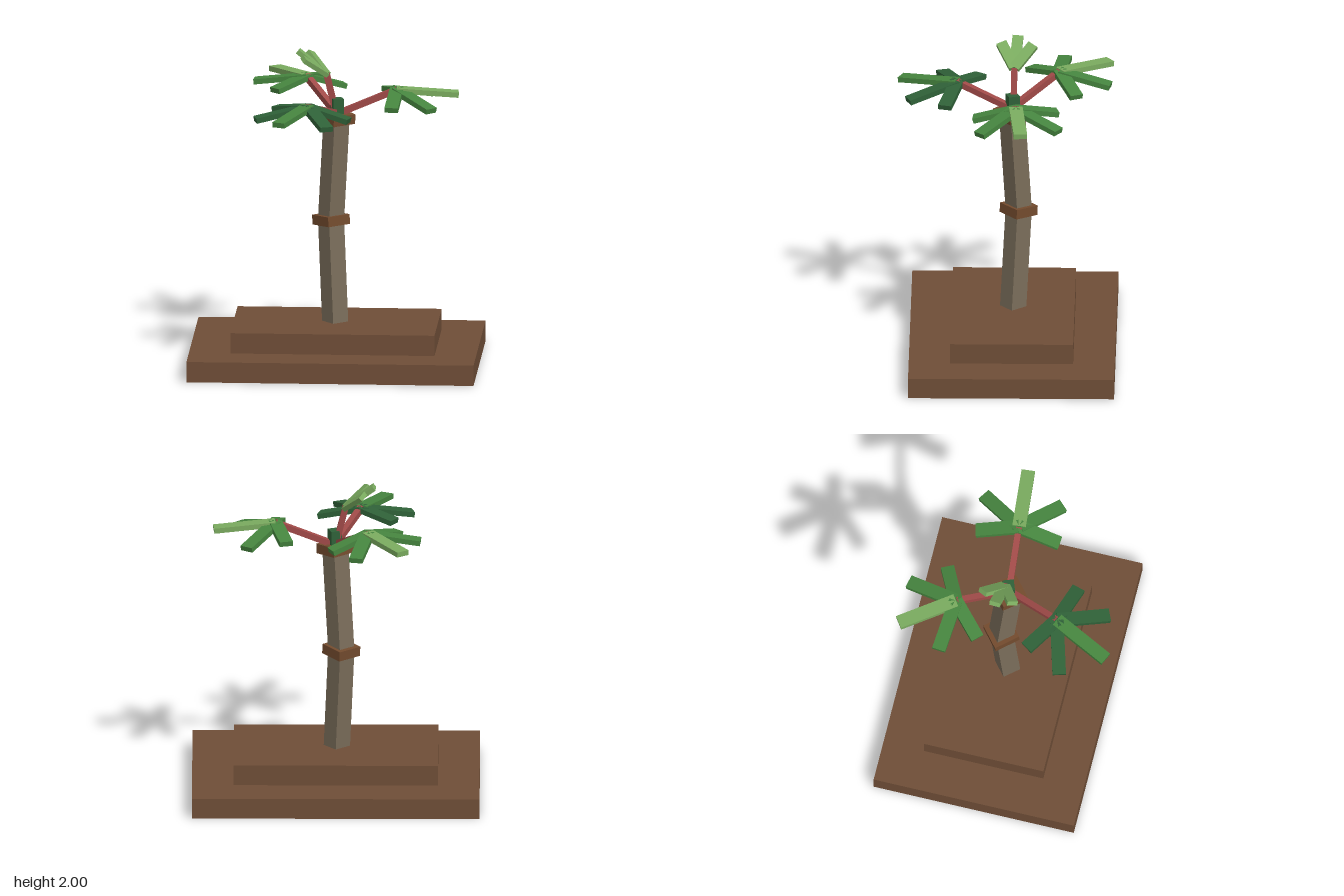
import * as THREE from 'three';

const mat = (name, color) => Object.assign(new THREE.MeshStandardMaterial({ color }), { name });
const V = (a) => new THREE.Vector3(...a);

export function createModel() {
  const root = new THREE.Group();
  root.name = 'palmTree';
  const earth = mat('earthBrown', 0x6f4e37);
  const ring = mat('ringBrown', 0x734b2e);
  const bark = mat('barkGrey', 0x7a6d5a);
  const red = mat('stemRed', 0xa04a48);
  const dark = mat('darkGreen', 0x2f6138);
  const mid = mat('midGreen', 0x46853f);
  const bright = mat('brightGreen', 0x7aab5f);

  function box(name, size, pos, material, parent = root) {
    const mesh = new THREE.Mesh(new THREE.BoxGeometry(...size), material);
    mesh.name = name;
    mesh.position.set(...pos);
    parent.add(mesh);
    return mesh;
  }

  // Box whose long (local y) axis runs from a to b; its local z leans toward `facing`
  function beam(name, a, b, width, depth, facing, material, parent = root) {
    const from = V(a), to = V(b);
    const y = to.clone().sub(from), length = y.length();
    y.normalize();
    const x = y.clone().cross(V(facing)).normalize();
    const z = x.clone().cross(y);
    const mesh = box(name, [width, length, depth], from.add(to).multiplyScalar(0.5).toArray(), material, parent);
    mesh.quaternion.setFromRotationMatrix(new THREE.Matrix4().makeBasis(x, y, z));
    return mesh;
  }

  // Stepped base
  box('baseLower', [1.8, 0.13, 1.29], [0, 0.065, -0.043], earth);
  box('baseUpper', [1.28, 0.13, 0.77], [0, 0.195, -0.043], earth);

  // Bent square trunk with a collar at the end of each section
  const yaw = THREE.MathUtils.degToRad(40);
  const facing = [Math.sin(yaw), 0, Math.cos(yaw)];
  const joints = [[-0.003, 0.2, -0.04], [-0.033, 0.905, -0.077], [0.004, 1.568, -0.036]];
  for (let i = 0; i < 2; i++) {
    const a = joints[i], b = joints[i + 1];
    beam('trunkSection', a, b, 0.117, 0.117, facing, bark);
    const half = V(b).sub(V(a)).setLength(0.031);
    beam('trunkCollar', V(b).sub(half).toArray(), V(b).add(half).toArray(), 0.168, 0.168, facing, ring);
  }

  // Bud at the crown
  box('bud', [0.07, 0.1, 0.07], [0.008, 1.64, -0.04], dark).rotation.y = 0.35;

  // Fronds: a stem, then leaves fanned from its hub; tips are absolute positions
  const fronds = [
    { // toward the left side
      stem: [0.03, 1.6, -0.04], hub: [0.38, 1.745, -0.065], centre: bright, sides: mid,
      tips: [[0.765, 1.715, -0.1], [0.56, 1.665, -0.335], [0.31, 1.695, -0.325],
        [0.61, 1.66, 0.16], [0.36, 1.67, 0.2]],
    },
    { // toward the back
      stem: [0, 1.6, -0.04], hub: [-0.2, 1.765, -0.33], centre: bright, sides: mid,
      tips: [[-0.42, 1.745, -0.645], [-0.125, 1.7, -0.65], [0.03, 1.685, -0.44],
        [-0.53, 1.725, -0.36], [-0.39, 1.71, -0.145]],
    },
    { // toward the front
      stem: [0, 1.6, -0.03], hub: [-0.155, 1.71, 0.31], centre: mid, sides: dark,
      tips: [[-0.32, 1.67, 0.665], [-0.02, 1.635, 0.615], [0.105, 1.64, 0.385],
        [-0.48, 1.645, 0.405], [-0.365, 1.67, 0.165]],
    },
    { // young frond pointing up
      stem: [0, 1.6, -0.045], hub: [-0.06, 1.845, -0.05], centre: bright, sides: bright,
      up: [0.6, 0.8, 0], width: 0.068, thick: 0.03,
      tips: [[-0.24, 1.985, -0.07], [-0.17, 1.955, -0.165], [-0.2, 1.955, 0.035]],
    },
  ];
  for (const f of fronds) {
    const frond = new THREE.Group();
    frond.name = 'frond';
    root.add(frond);
    const up = f.up ?? [0, 1, 0];
    beam('frondStem', f.stem, f.hub, 0.038, 0.038, up, red, frond);
    f.tips.forEach((tip, i) => {
      beam(i ? 'sideLeaf' : 'centreLeaf', f.hub, tip, f.width ?? 0.085, f.thick ?? 0.033, up,
        i ? f.sides : f.centre, frond);
    });
  }
  return root;
}
